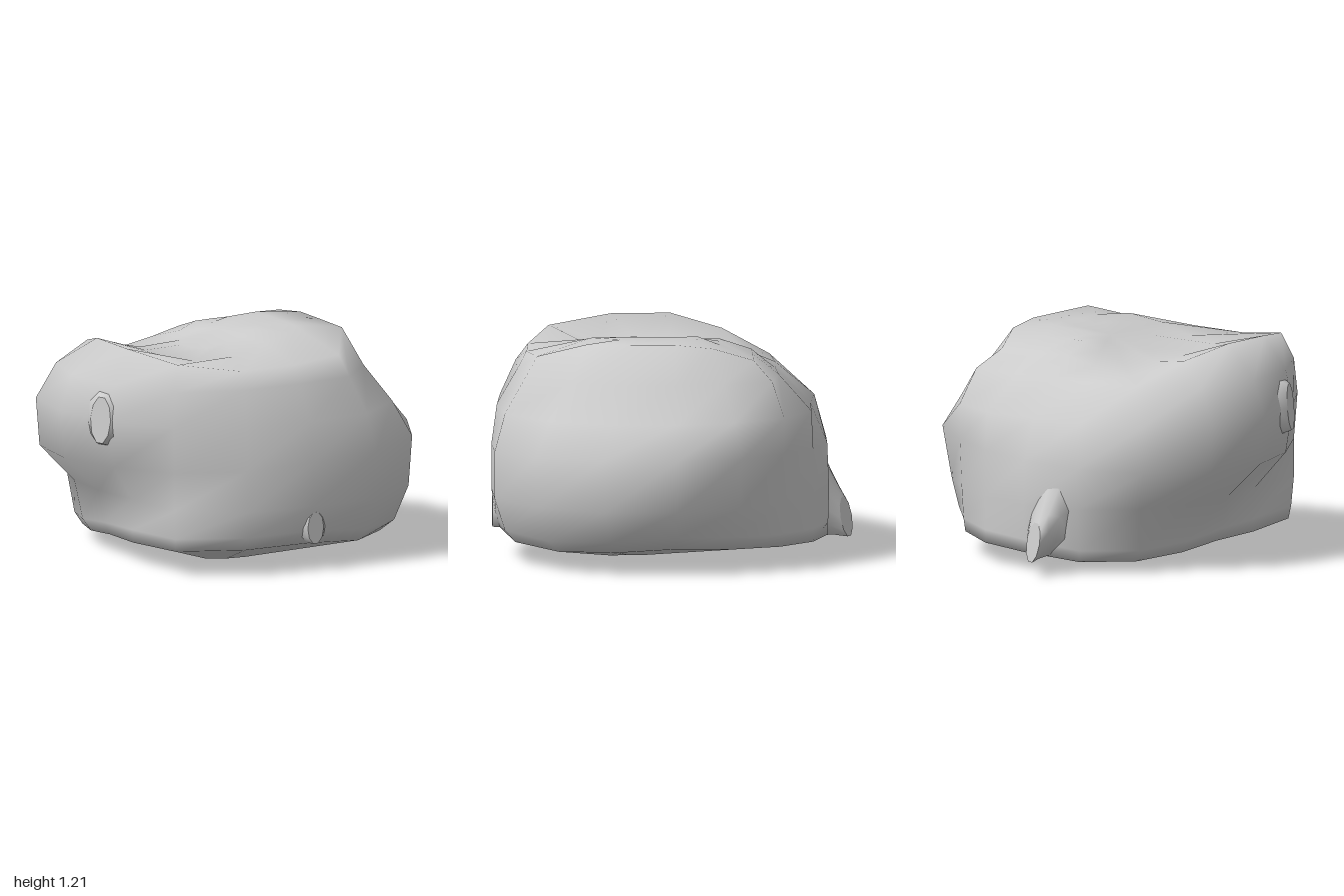
import * as THREE from 'three';

const material = new THREE.MeshStandardMaterial({ color: 0xcccccc, side: THREE.DoubleSide });
const clamp = THREE.MathUtils.clamp;

// Skin a list of closed loops and close both ends with a pole point.
function loft(name, start, rings, end) {
  const n = rings[0].length;
  const points = [start, ...rings.flat(), end];
  const last = points.length - 1;
  const index = [];
  const id = (ring, k) => 1 + ring * n + (k % n);
  for (let k = 0; k < n; k++) {
    index.push(0, id(0, k), id(0, k + 1));
    for (let r = 0; r < rings.length - 1; r++) {
      const a = id(r, k), b = id(r, k + 1), c = id(r + 1, k), d = id(r + 1, k + 1);
      index.push(a, c, b, b, c, d);
    }
    index.push(last, id(rings.length - 1, k + 1), id(rings.length - 1, k));
  }
  const geometry = new THREE.BufferGeometry().setFromPoints(points);
  geometry.setIndex(index);
  geometry.computeVertexNormals();
  const mesh = new THREE.Mesh(geometry, material);
  mesh.name = name;
  return mesh;
}

// Horizontal loop of sixteen radii, starting at +x and turning towards +z.
function ringOf(radii, height, cx = 0, cz = 0) {
  return radii.map((r, k) => {
    const a = (k / radii.length) * Math.PI * 2;
    const x = cx + r * Math.cos(a), z = cz + r * Math.sin(a);
    return new THREE.Vector3(x, height(x, z), z);
  });
}

// Underside: lowest a little in front of the middle, rising to the back and sides.
const bottomY = (x, z) =>
  Math.max(0.08 * clamp((0.2 - z) / 0.35, 0, 1), 0.2 * Math.max(0, Math.abs(x + 0.14) - 0.21));

// Lower rim: gently tilted, dipping at the front +x corner.
const rimY = (x, z) => 0.125 + 0.03 * z + 0.02 * x - 0.13 * Math.max(0, x * z);

// Top: ridge on the +x side, shallow valley, peak on the -x side, front and back sloping off.
const topKnots = [[-0.9, 1.12], [-0.75, 1.21], [-0.52, 1.1], [-0.25, 1.1], [0.11, 1.2], [0.3, 1.21], [0.6, 1.21]];
function topY(x, z) {
  let i = 0;
  while (i < topKnots.length - 2 && x > topKnots[i + 1][0]) i++;
  const [x0, y0] = topKnots[i], [x1, y1] = topKnots[i + 1];
  const y = y0 + (y1 - y0) * clamp((x - x0) / (x1 - x0), 0, 1);
  const backDip = 0.2 * Math.max(0, -z - 0.08) * clamp(-4 * x, 0, 1);
  return Math.min(y - backDip, 1.21 - 0.34 * Math.max(0, Math.abs(z - 0.17) - 0.31));
}

// Stub with a flat end; each section is [x, y, z, half width, half height, slant].
function stub(name, direction, sections) {
  const n = new THREE.Vector3(...direction).normalize();
  const side = new THREE.Vector3(-n.z, 0, n.x);
  const rings = sections.map(([x, y, z, w, h, slant = 0]) =>
    Array.from({ length: 10 }, (_, k) => {
      const a = (k / 10) * Math.PI * 2;
      return new THREE.Vector3(x, y + h * Math.sin(a), z)
        .addScaledVector(side, w * Math.cos(a))
        .addScaledVector(n, -slant * Math.sin(a));
    }));
  rings.push(rings[rings.length - 1].map(p => p.clone())); // crisp rim
  const centre = s => new THREE.Vector3(s[0], s[1], s[2]);
  return loft(name, centre(sections[0]), rings, centre(sections[sections.length - 1]));
}

export function createModel() {
  const group = new THREE.Group();
  group.name = 'boulder';

  // Main body: stacked outlines from the lower rim to the shoulder
  const rim = [.8, .83, .89, .93, .94, .97, .97, .78, .69, .7, .76, .82, .83, .81, .8, .8];
  const flank = [.95, 1.02, 1.05, 1.05, .98, 1.03, 1.0, .79, .76, .79, .85, .88, .84, .81, .82, .88];
  const middle = [1.0, 1.02, 1.07, 1.05, .98, 1.01, 1.0, .96, .97, .98, .94, .9, .83, .81, .83, .93];
  const upper = [.83, .88, .96, .99, .95, 1.0, 1.02, 1.0, 1.0, 1.0, .92, .83, .74, .8, .83, .82];
  const shoulder = [.65, .7, .8, .87, .84, .91, 1.0, .96, .93, .89, .75, .6, .55, .61, .74, .67];
  const crown = [.51, .54, .68, .8, .79, .84, .93, .84, .77, .72, .57, .45, .42, .46, .6, .54];

  const rings = [
    ringOf(rim.map(r => r * 0.3), bottomY, -0.1, 0.15),
    ringOf(rim, rimY),
    ringOf(rim.map((r, k) => (r + flank[k]) / 2), (x, z) => rimY(x, z) + 0.07),
    ringOf(flank, () => 0.36),
    ringOf(middle, x => 0.6 + 0.045 * x),
    ringOf(upper, () => 0.82),
    ringOf(shoulder, () => 1.01),
    ringOf(crown, topY),
    ringOf(crown.map(r => r * 0.6), topY),
    ringOf(crown.map(r => r * 0.3), topY),
  ];
  group.add(loft('body', new THREE.Vector3(-0.1, 0, 0.25), rings, new THREE.Vector3(0, topY(0, 0), 0)));

  // Pointed spur at the back, its cut end turned a little to +x
  group.add(stub('backSpur', [0.45, 0, -0.9], [
    [-0.1, 0.36, -0.7, 0.22, 0.28],
    [-0.1, 0.32, -0.78, 0.17, 0.24, 0.01],
    [-0.12, 0.24, -0.87, 0.11, 0.16, 0.02],
    [-0.13, 0.18, -0.935, 0.07, 0.11, 0.02],
  ]));

  // Small knob low on the front
  group.add(stub('frontKnob', [0, 0, 1], [
    [0.02, 0.28, 0.88, 0.2, 0.13],
    [0.02, 0.25, 0.94, 0.09, 0.1],
    [0.02, 0.24, 0.975, 0.05, 0.09],
  ]));

  // Small knob on the -x side
  group.add(stub('sideKnob', [-1, 0, 0.35], [
    [-0.84, 0.82, 0.28, 0.18, 0.18],
    [-0.91, 0.82, 0.31, 0.12, 0.15],
    [-0.945, 0.82, 0.33, 0.07, 0.13, 0.01],
  ]));

  return group;
}
